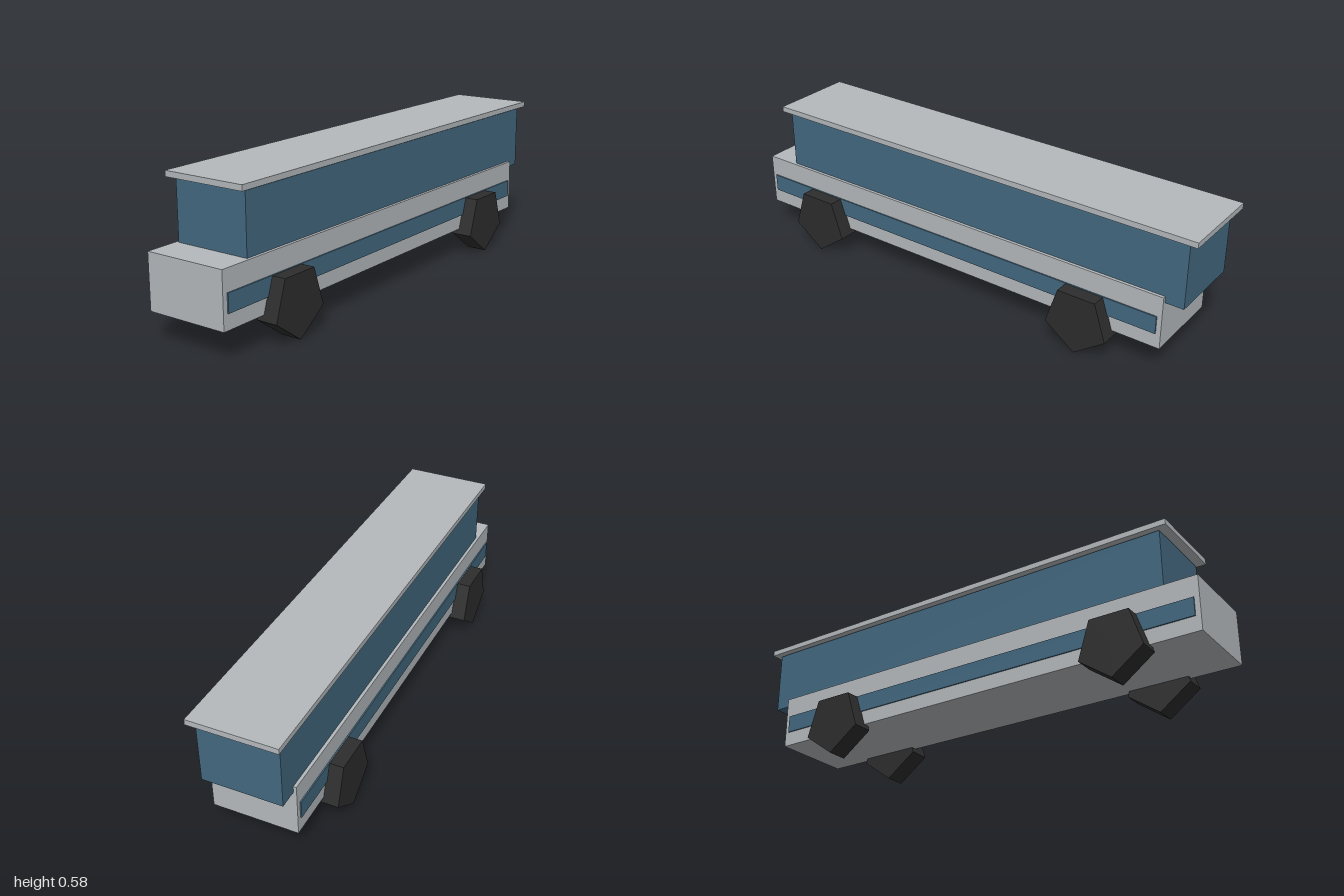
import * as THREE from 'three';

const paint = (name, color) => {
  const m = new THREE.MeshStandardMaterial({ color });
  m.name = name;
  return m;
};

export function createModel() {
  const grey = paint('light grey', 0xb4b9bc);
  const blue = paint('slate blue', 0x43687f);
  const black = paint('tyre black', 0x2d2d2d);

  const model = new THREE.Group();
  model.name = 'railcar';

  // Box given by its lower and upper limits on each axis
  const box = (name, material, [x0, x1], [y0, y1], [z0, z1]) => {
    const mesh = new THREE.Mesh(new THREE.BoxGeometry(x1 - x0, y1 - y0, z1 - z0), material);
    mesh.position.set((x0 + x1) / 2, (y0 + y1) / 2, (z0 + z1) / 2);
    mesh.name = name;
    model.add(mesh);
  };

  // Lower body, set forward of the cabin and the floating roof
  box('lowerBody', grey, [-0.167, 0.167], [0.113, 0.326], [-0.892, 1]);
  box('cabin', blue, [-0.155, 0.155], [0.3, 0.554], [-0.965, 0.867]);
  box('roof', grey, [-0.172, 0.172], [0.561, 0.583], [-1, 0.9]);

  // Five-sided wheel with its axis along x and one corner down
  const radius = 0.1335;
  const indexed = new THREE.CylinderGeometry(radius, radius, 0.084, 5);
  indexed.rotateX(Math.PI / 2).rotateY(Math.PI / 2);
  const wheelGeometry = indexed.toNonIndexed();
  wheelGeometry.computeVertexNormals();

  // Side stripes and wheels, mirrored left and right
  for (const [side, s] of [['left', 1], ['right', -1]]) {
    const stripeX = [s * 0.166, s * 0.172].sort((a, b) => a - b);
    box(`${side}Stripe`, blue, stripeX, [0.172, 0.243], [-0.873, 0.98]);
    for (const [end, z] of [['Front', 0.684], ['Rear', -0.579]]) {
      const wheel = new THREE.Mesh(wheelGeometry, black);
      wheel.position.set(s * 0.185, radius, z);
      wheel.name = `${side}${end}Wheel`;
      model.add(wheel);
    }
  }
  return model;
}
